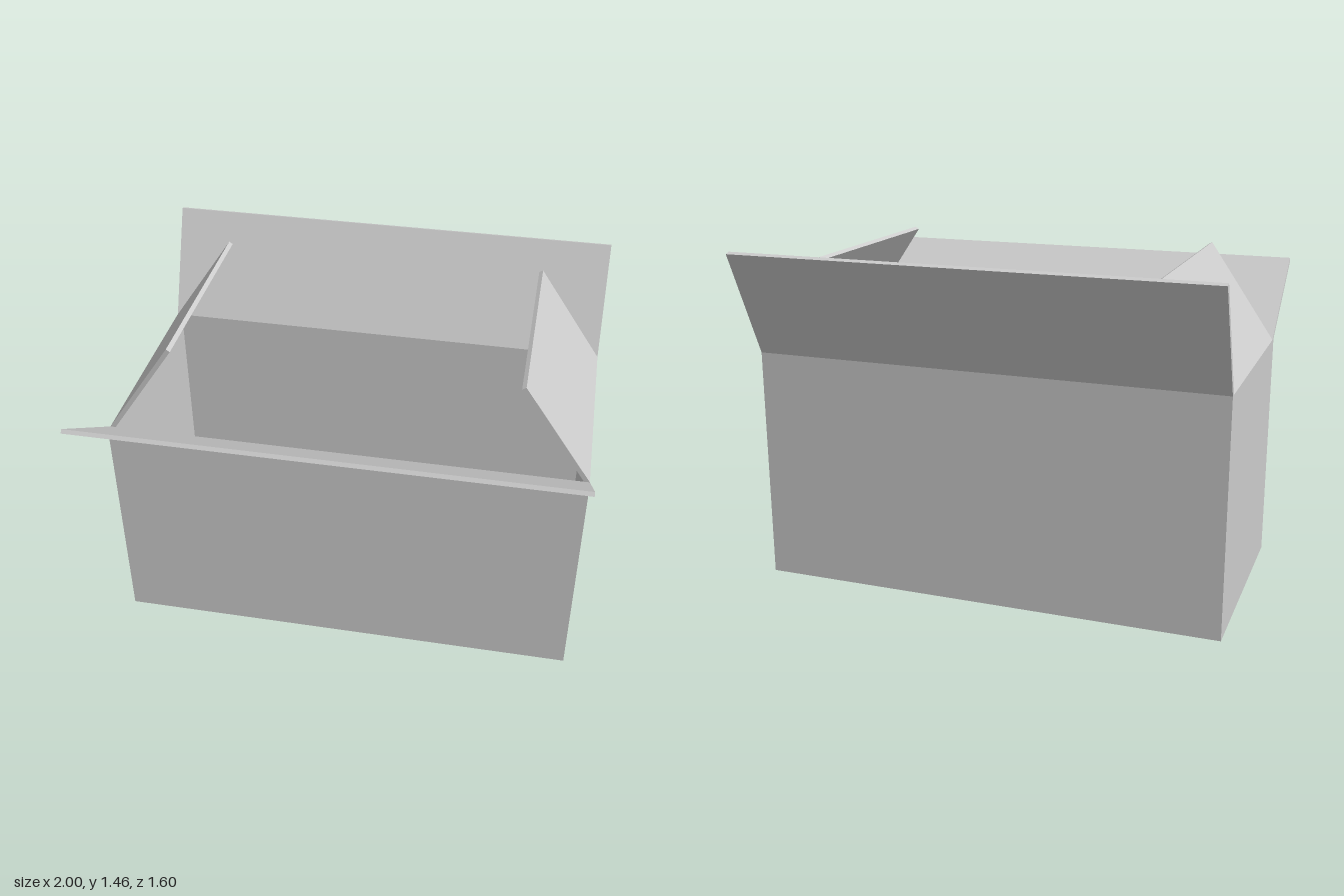
import * as THREE from 'three';

const WALL = 0.02;
const BACK = -0.59, FRONT = 0.392;
const MID_Z = (BACK + FRONT) / 2, DEPTH = FRONT - BACK;

export function createModel() {
  const group = new THREE.Group();
  group.name = 'openBox';

  const cardboard = new THREE.MeshStandardMaterial({ color: 0xcccccc });
  cardboard.name = 'lightGrey';

  const add = (name, geometry) => {
    const mesh = new THREE.Mesh(geometry, cardboard);
    mesh.name = name;
    group.add(mesh);
    return mesh;
  };

  // Flat slab: a cross-section of [across, up] points, extruded and centred
  const slab = (points, length) => {
    const shape = new THREE.Shape(points.map(([a, y]) => new THREE.Vector2(a, y)));
    return new THREE.ExtrudeGeometry(shape, { depth: length, bevelEnabled: false })
      .translate(0, 0, -length / 2);
  };

  // Rectangle outline for the wall ring
  const rect = (w, d) => [[-1, -1], [1, -1], [1, 1], [-1, 1]]
    .map(([x, y]) => new THREE.Vector2(x * w / 2, y * d / 2));

  // Four walls as one hollow ring
  const ring = new THREE.Shape(rect(2, DEPTH));
  ring.holes.push(new THREE.Path(rect(2 - 2 * WALL, DEPTH - 2 * WALL)));
  const walls = new THREE.ExtrudeGeometry(ring, { depth: 1, bevelEnabled: false });
  walls.rotateX(-Math.PI / 2).translate(0, 0, MID_Z);
  add('walls', walls);

  // Floor plate inside the ring
  add('floor', new THREE.BoxGeometry(2 - 2 * WALL, WALL, DEPTH - 2 * WALL)
    .translate(0, WALL / 2, MID_Z));

  // Long flaps, folded outward: cross-section in z and y, running along x
  const longFlaps = {
    frontFlap: [[FRONT, 1], [0.8, 1.283], [0.79, 1.297], [0.362, 1]],
    backFlap: [[BACK, 1], [-0.8, 1.45], [-0.779, 1.457], [-0.567, 1]],
  };
  for (const [name, points] of Object.entries(longFlaps)) {
    add(name, slab(points, 2).rotateY(-Math.PI / 2));
  }

  // Short flaps, leaning inward over the opening
  const sideFlap = [[1, 1], [0.714, 1.418], [0.698, 1.408], [0.977, 1]];
  for (const side of [1, -1]) {
    const points = sideFlap.map(([x, y]) => [side * x, y]);
    add(side > 0 ? 'leftFlap' : 'rightFlap', slab(points, 0.926).translate(0, 0, -0.101));
  }

  return group;
}
